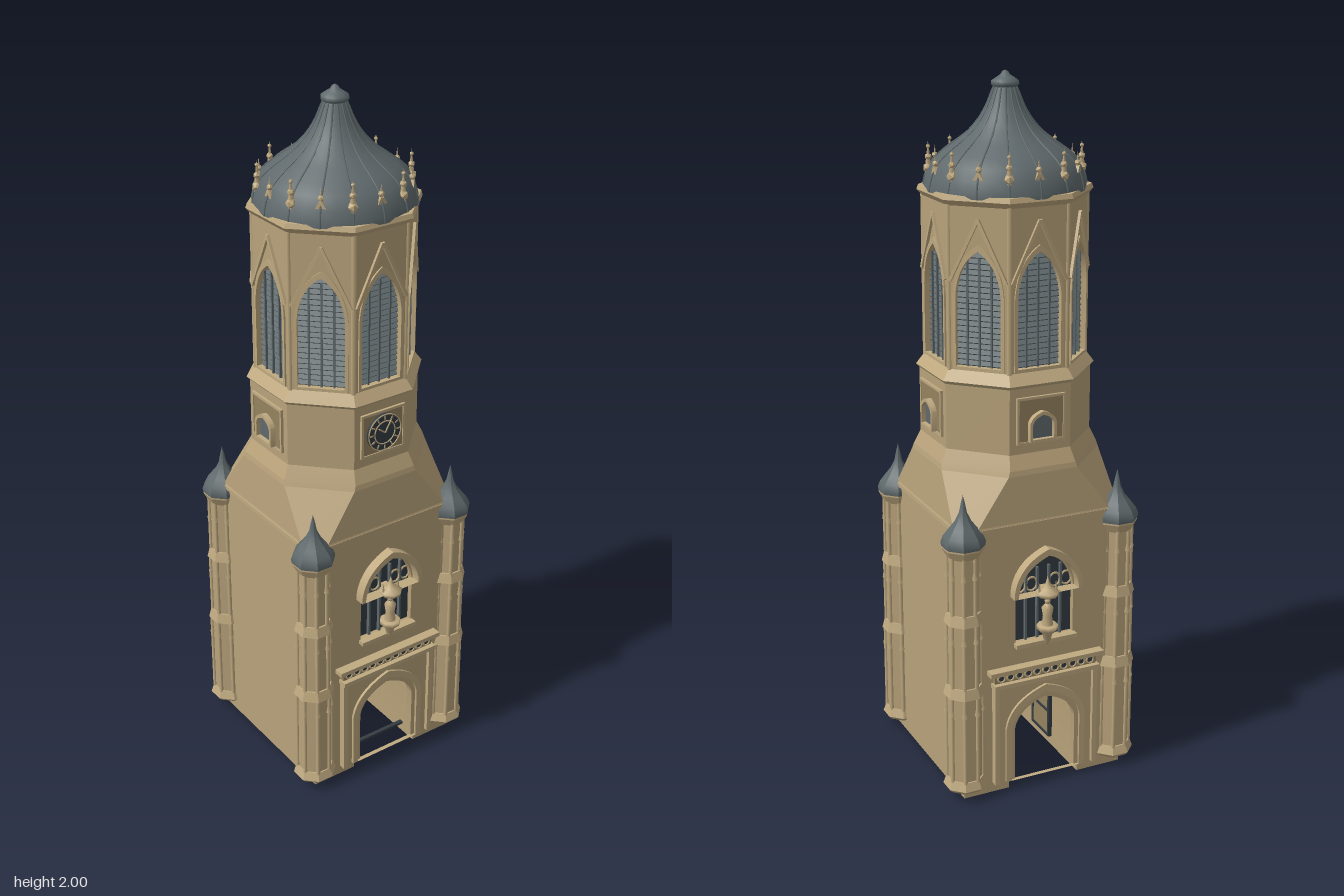
import * as THREE from 'three';
import { toCreasedNormals } from 'three/addons/utils/BufferGeometryUtils.js';

const flat = (name, color) => Object.assign(new THREE.MeshStandardMaterial({ color }), { name });
const stone = flat('sandstone', 0xb8a27a);
const trim = flat('trim stone', 0xbfa980);
const recess = flat('shaded stone', 0x96835f);
const slate = flat('slate', 0x5f696c);
const dark = flat('dark glazing', 0x343c42);

const C8 = Math.cos(Math.PI / 8);

function add(parent, name, geo, mat, x = 0, y = 0, z = 0) {
  const m = new THREE.Mesh(geo, mat);
  m.name = name;
  m.position.set(x, y, z);
  parent.add(m);
  return m;
}
function group(parent, name, angle = 0) {
  const g = new THREE.Group();
  g.name = name;
  g.rotation.y = angle;
  parent.add(g);
  return g;
}
const box = (w, h, d) => new THREE.BoxGeometry(w, h, d);

// Octagonal prism given by apothems, from y0 to y1
function octagon(parent, name, mat, aBottom, aTop, y0, y1) {
  const g = new THREE.CylinderGeometry(aTop / C8, aBottom / C8, y1 - y0, 8, 1, false, Math.PI / 8);
  return add(parent, name, toCreasedNormals(g, 0.4), mat, 0, (y0 + y1) / 2, 0);
}

// Pointed arch outline: half width w, foot y0, springing ys, apex ya
function arch(w, y0, ys, ya, Type = THREE.Shape) {
  const s = new Type();
  const c = ys + (ya - ys) * 0.72;
  s.moveTo(-w, y0);
  s.lineTo(w, y0);
  s.lineTo(w, ys);
  s.quadraticCurveTo(w * 0.9, c, 0, ya);
  s.quadraticCurveTo(-w * 0.9, c, -w, ys);
  s.closePath();
  return s;
}
function rect(w, y0, y1) {
  return new THREE.Shape([[-w, y0], [w, y0], [w, y1], [-w, y1]].map(p => new THREE.Vector2(...p)));
}
// Wall outline standing on y0 with a pointed passage cut from below
function portalShape(w, y0, y1, aw, ys, ya) {
  const s = new THREE.Shape();
  const c = ys + (ya - ys) * 0.72;
  s.moveTo(w, y0);
  s.lineTo(w, y1);
  s.lineTo(-w, y1);
  s.lineTo(-w, y0);
  s.lineTo(-aw, y0);
  s.lineTo(-aw, ys);
  s.quadraticCurveTo(-aw * 0.9, c, 0, ya);
  s.quadraticCurveTo(aw * 0.9, c, aw, ys);
  s.lineTo(aw, y0);
  s.closePath();
  return s;
}
function extrude(parent, name, shape, mat, z0, z1) {
  const g = new THREE.ExtrudeGeometry(shape, { depth: z1 - z0, bevelEnabled: false, curveSegments: 10 });
  return add(parent, name, toCreasedNormals(g, 0.5), mat, 0, 0, z0);
}
// Straight bar between two points in a facing plane
function bar(parent, name, mat, x0, y0, x1, y1, z, t, d) {
  const m = add(parent, name, box(Math.hypot(x1 - x0, y1 - y0), t, d), mat, (x0 + x1) / 2, (y0 + y1) / 2, z);
  m.rotation.z = Math.atan2(y1 - y0, x1 - x0);
}
const lathe = (pts, n) => new THREE.LatheGeometry(pts.map(p => new THREE.Vector2(...p)), n, Math.PI / 8);

// Broach: square plan with corners cut progressively to an octagon; rows are [y, half width, half edge]
function broach(rows) {
  const pos = [], idx = [];
  for (const [y, a, b] of rows)
    for (const [x, z] of [[a, -b], [a, b], [b, a], [-b, a], [-a, b], [-a, -b], [-b, -a], [b, -a]]) pos.push(x, y, z);
  for (let r = 0; r < rows.length - 1; r++)
    for (let i = 0; i < 8; i++) {
      const p = r * 8 + i, q = r * 8 + (i + 1) % 8;
      idx.push(p, p + 8, q, q, p + 8, q + 8);
    }
  const g = new THREE.BufferGeometry();
  g.setAttribute('position', new THREE.Float32BufferAttribute(pos, 3));
  g.setIndex(idx);
  return toCreasedNormals(g, 0.1);
}

function facade(tower, angle) {
  const f = group(tower, 'facade', angle);
  const wall = portalShape(0.25, 0, 0.81, 0.11, 0.2, 0.3);
  wall.holes.push(arch(0.09, 0.455, 0.6, 0.71, THREE.Path));
  extrude(f, 'facadeWall', wall, stone, 0.235, 0.256);
  // Gateway surround
  extrude(f, 'portal', portalShape(0.155, 0.03, 0.335, 0.095, 0.19, 0.275), stone, 0.245, 0.265);
  const mould = arch(0.125, 0.03, 0.2, 0.315);
  mould.holes.push(arch(0.108, 0.0301, 0.195, 0.292, THREE.Path));
  extrude(f, 'archMoulding', mould, trim, 0.26, 0.273);
  for (const s of [-1, 1]) add(f, 'portalEdge', box(0.014, 0.31, 0.03), trim, s * 0.155, 0.185, 0.262);
  // Frieze of rings between two ledges
  add(f, 'friezeBack', box(0.32, 0.03, 0.02), recess, 0, 0.362, 0.26);
  for (const [y, w] of [[0.341, 0.33], [0.382, 0.356]]) add(f, 'friezeLedge', box(w, 0.013, 0.04), trim, 0, y, 0.265);
  for (let i = -5; i <= 5; i++) {
    add(f, 'friezeRing', new THREE.TorusGeometry(0.011, 0.003, 5, 10), trim, i * 0.028, 0.362, 0.271);
    add(f, 'friezeEye', new THREE.CircleGeometry(0.008, 8), dark, i * 0.028, 0.362, 0.2715);
  }
  // Large window
  extrude(f, 'windowGlass', arch(0.092, 0.45, 0.6, 0.712), dark, 0.236, 0.24);
  for (const x of [-0.054, -0.018, 0.018, 0.054]) add(f, 'windowMullion', box(0.006, 0.22, 0.01), slate, x, 0.56, 0.245);
  for (const s of [-1, 1]) for (const x of [0.018, 0.054]) {
    const t = add(f, 'tracery', new THREE.TorusGeometry(0.017, 0.003, 5, 10), trim, s * (x + 0.018), 0.622, 0.246);
    t.scale.y = 1.2;
  }
  const hood = arch(0.106, 0.6, 0.615, 0.735);
  hood.holes.push(arch(0.093, 0.6001, 0.61, 0.715, THREE.Path));
  extrude(f, 'windowHood', hood, trim, 0.25, 0.285);
  add(f, 'windowSill', box(0.19, 0.012, 0.025), trim, 0, 0.45, 0.263);
  // Statue on a bracket beneath a canopy
  const s = group(f, 'statue');
  s.position.z = 0.275;
  add(s, 'bracket', lathe([[0, 0.44], [0.01, 0.455], [0.014, 0.475], [0.03, 0.49], [0.03, 0.503], [0, 0.503]], 8), trim);
  add(s, 'figure', lathe([[0.016, 0.503], [0.013, 0.53], [0.017, 0.555], [0.006, 0.568]], 10), trim);
  add(s, 'head', new THREE.SphereGeometry(0.009, 8, 6), trim, 0, 0.575, 0);
  add(s, 'canopy', lathe([[0, 0.592], [0.03, 0.592], [0.034, 0.605], [0.012, 0.615], [0.006, 0.63], [0, 0.65]], 8), trim);
  add(s, 'canopyArm', box(0.02, 0.02, 0.04), trim, 0, 0.602, -0.02);
  for (const k of [-1, 1]) add(s, 'canopyFinial', new THREE.ConeGeometry(0.006, 0.04, 5), trim, k * 0.026, 0.615, 0);
}

function turret(tower, x, z) {
  const t = group(tower, 'cornerTurret');
  t.position.set(x, 0, z);
  for (const [a, b, y0, y1] of [[0.05, 0.058, 0.03, 0.04], [0.058, 0.05, 0.04, 0.065], [0.046, 0.046, 0.065, 0.33],
    [0.055, 0.048, 0.325, 0.355], [0.043, 0.043, 0.34, 0.55], [0.052, 0.045, 0.545, 0.575], [0.04, 0.04, 0.56, 0.77],
    [0.043, 0.055, 0.74, 0.765], [0.055, 0.055, 0.765, 0.775]])
    octagon(t, 'turretStage', y1 - y0 > 0.1 ? stone : trim, a, b, y0, y1);
  // Corner shafts with pointed caps for each stage
  for (const [r, y0, y1] of [[0.05, 0.05, 0.34], [0.0465, 0.34, 0.56], [0.0435, 0.56, 0.75]])
    for (let i = 0; i < 8; i++) {
      const a = Math.PI / 8 + i * Math.PI / 4, px = r * Math.sin(a), pz = r * Math.cos(a);
      add(t, 'turretShaft', new THREE.CylinderGeometry(0.006, 0.006, y1 - y0, 6), trim, px, (y0 + y1) / 2, pz);
      add(t, 'shaftCap', new THREE.ConeGeometry(0.009, 0.05, 4), trim, px, y1 - 0.045, pz);
    }
  const dome = [[0.06, 0.77], [0.062, 0.782], [0.055, 0.8], [0.038, 0.822], [0.022, 0.842], [0.011, 0.865], [0.006, 0.89], [0, 0.915]];
  add(t, 'turretDome', toCreasedNormals(lathe(dome, 8), 0.6), slate);
  add(t, 'domeBall', new THREE.SphereGeometry(0.009, 8, 6), slate, 0, 0.87, 0);
}

function belfryFace(tower, angle) {
  const f = group(tower, 'belfryFace', angle);
  const wall = rect(0.087, 1.2, 1.69);
  wall.holes.push(arch(0.066, 1.235, 1.43, 1.555, THREE.Path));
  extrude(f, 'belfryWall', wall, stone, 0.186, 0.21);
  const ring = arch(0.073, 1.228, 1.43, 1.57);
  ring.holes.push(arch(0.064, 1.236, 1.43, 1.552, THREE.Path));
  extrude(f, 'belfryArch', ring, trim, 0.2, 0.215);
  // Louvres and mullions
  for (let i = 0; i < 20; i++) {
    const s = add(f, 'louvre', box(0.136, 0.004, 0.016), slate, 0, 1.243 + i * 0.0155, 0.194);
    s.rotation.x = 0.7;
  }
  for (const x of [-0.034, 0, 0.034]) add(f, 'louvreMullion', box(0.005, 0.3, 0.006), slate, x, 1.385, 0.203);
  for (const s of [-1, 1]) bar(f, 'gableMoulding', trim, s * 0.08, 1.47, 0, 1.636, 0.211, 0.009, 0.014);
  // Gablet standing at the roof edge
  const g = group(f, 'roofGablet');
  g.position.z = 0.204;
  for (const s of [-1, 1]) {
    bar(g, 'gabletSide', trim, s * 0.032, 1.695, 0, 1.755, 0, 0.01, 0.012);
    add(g, 'gabletCrocket', new THREE.IcosahedronGeometry(0.008, 0), trim, s * 0.019, 1.73, 0);
  }
  add(g, 'gabletFinial', new THREE.ConeGeometry(0.006, 0.05, 6), trim, 0, 1.77, 0);
  add(g, 'gabletKnob', new THREE.IcosahedronGeometry(0.009, 0), trim, 0, 1.765, 0);

  // Corner shaft rising into a pinnacle
  const c = group(f, 'cornerPinnacle', Math.PI / 8);
  add(c, 'cornerShaft', new THREE.CylinderGeometry(0.008, 0.008, 0.47, 6), trim, 0, 1.445, 0.222);
  add(c, 'pinnacleBase', new THREE.CylinderGeometry(0.009, 0.012, 0.05, 6), trim, 0, 1.715, 0.207);
  add(c, 'pinnacleSpire', new THREE.ConeGeometry(0.01, 0.08, 6), trim, 0, 1.775, 0.207);
  for (const [y, r] of [[1.742, 0.015], [1.772, 0.01], [1.8, 0.006]])
    add(c, 'pinnacleCrocket', new THREE.IcosahedronGeometry(r, 0), trim, 0, y, 0.207);
}

function clockStagePanel(tower, k) {
  const f = group(tower, k ? 'archedNiche' : 'clock', k * Math.PI / 2);
  const frame = rect(0.073, 1.028, 1.16);
  frame.holes.push(rect(0.066, 1.035, 1.153));
  extrude(f, 'panelFrame', frame, trim, 0.222, 0.23);
  extrude(f, 'panelField', rect(0.067, 1.034, 1.154), recess, 0.22, 0.227);
  if (k) {
    const s = arch(0.04, 1.035, 1.085, 1.12);
    s.holes.push(arch(0.032, 1.042, 1.083, 1.11, THREE.Path));
    extrude(f, 'nicheFrame', s, trim, 0.224, 0.243);
    extrude(f, 'nicheWindow', arch(0.033, 1.04, 1.083, 1.111), slate, 0.224, 0.23);
    return;
  }
  const face = add(f, 'clockFace', new THREE.CylinderGeometry(0.055, 0.055, 0.009, 32), dark, 0, 1.095, 0.231);
  face.rotation.x = Math.PI / 2;
  for (const r of [0.054, 0.034]) add(f, 'clockRing', new THREE.TorusGeometry(r, 0.002, 5, 32), trim, 0, 1.095, 0.236);
  for (let i = 0; i < 12; i++) {
    const a = i * Math.PI / 6, x = Math.sin(a), y = Math.cos(a);
    bar(f, 'hourMark', trim, x * 0.039, 1.095 + y * 0.039, x * 0.05, 1.095 + y * 0.05, 0.236, 0.004, 0.003);
  }
  bar(f, 'hourHand', trim, 0, 1.095, -0.02, 1.11, 0.237, 0.004, 0.003);
  bar(f, 'minuteHand', trim, 0, 1.095, 0.02, 1.13, 0.238, 0.003, 0.003);
}

export function createModel() {
  const tower = new THREE.Group();
  tower.name = 'gateTower';

  // Square gatehouse with a through passage
  extrude(tower, 'gatehouse', portalShape(0.25, 0, 0.81, 0.11, 0.2, 0.3), stone, -0.236, 0.236);
  for (const a of [0, Math.PI]) facade(tower, a);
  for (const s of [-1, 1]) {
    add(tower, 'sideLedge', box(0.012, 0.012, 0.5), trim, s * 0.251, 0.805, 0);
    for (const t of [-1, 1]) turret(tower, s * 0.237, t * 0.234);
    // Open gate leaf folded against the passage wall
    const leaf = group(tower, 'gateLeaf');
    leaf.position.x = s * 0.104;
    add(leaf, 'leafPanel', box(0.006, 0.16, 0.1), recess, 0, 0.115, -0.04);
    for (const y of [0.035, 0.115, 0.195]) add(leaf, 'leafRail', box(0.012, 0.008, 0.11), dark, 0, y, -0.04);
    for (const z of [-0.092, 0.012]) add(leaf, 'leafStile', box(0.012, 0.168, 0.008), dark, 0, 0.115, z);
  }
  add(tower, 'thresholdBar', box(0.22, 0.008, 0.012), dark, 0, 0.032, 0.2);

  // Transition to the octagon and the clock stage
  add(tower, 'broach', broach([[0.805, 0.256, 0.2555], [0.815, 0.253, 0.2], [0.945, 0.243, 0.105],
    [0.96, 0.24, 0.1], [1.0, 0.222, 0.092]]), stone);
  octagon(tower, 'clockStage', stone, 0.222, 0.222, 0.96, 1.19);
  for (let k = 0; k < 4; k++) clockStagePanel(tower, k);
  octagon(tower, 'stringCourse', trim, 0.222, 0.231, 1.185, 1.195);
  octagon(tower, 'stringCourseSlope', trim, 0.231, 0.21, 1.195, 1.225);

  // Belfry
  octagon(tower, 'belfryCore', dark, 0.184, 0.184, 1.2, 1.69);
  for (let k = 0; k < 8; k++) belfryFace(tower, k * Math.PI / 4);
  octagon(tower, 'cornice', trim, 0.21, 0.222, 1.67, 1.685);
  octagon(tower, 'corniceTop', trim, 0.222, 0.218, 1.685, 1.698);

  // Ogee roof with ribs
  const profile = [[0.222, 1.69], [0.221, 1.705], [0.213, 1.735], [0.196, 1.765], [0.168, 1.79], [0.132, 1.815], [0.098, 1.842],
    [0.07, 1.875], [0.05, 1.91], [0.036, 1.945], [0.03, 1.958]];
  add(tower, 'roof', lathe(profile, 32), slate);
  add(tower, 'roofKnob', lathe([[0.03, 1.955], [0.038, 1.962], [0.037, 1.972], [0.025, 1.98], [0.013, 1.988], [0.008, 1.996], [0, 2]], 16), slate);
  const curve = new THREE.CatmullRomCurve3(profile.map(([r, y]) => new THREE.Vector3(0, y, r)));
  const ribGeo = new THREE.TubeGeometry(curve, 20, 0.0028, 5);
  for (let i = 0; i < 16; i++) add(tower, 'roofRib', ribGeo, slate, 0, 0, 0).rotation.y = i * Math.PI / 8;

  return tower;
}
